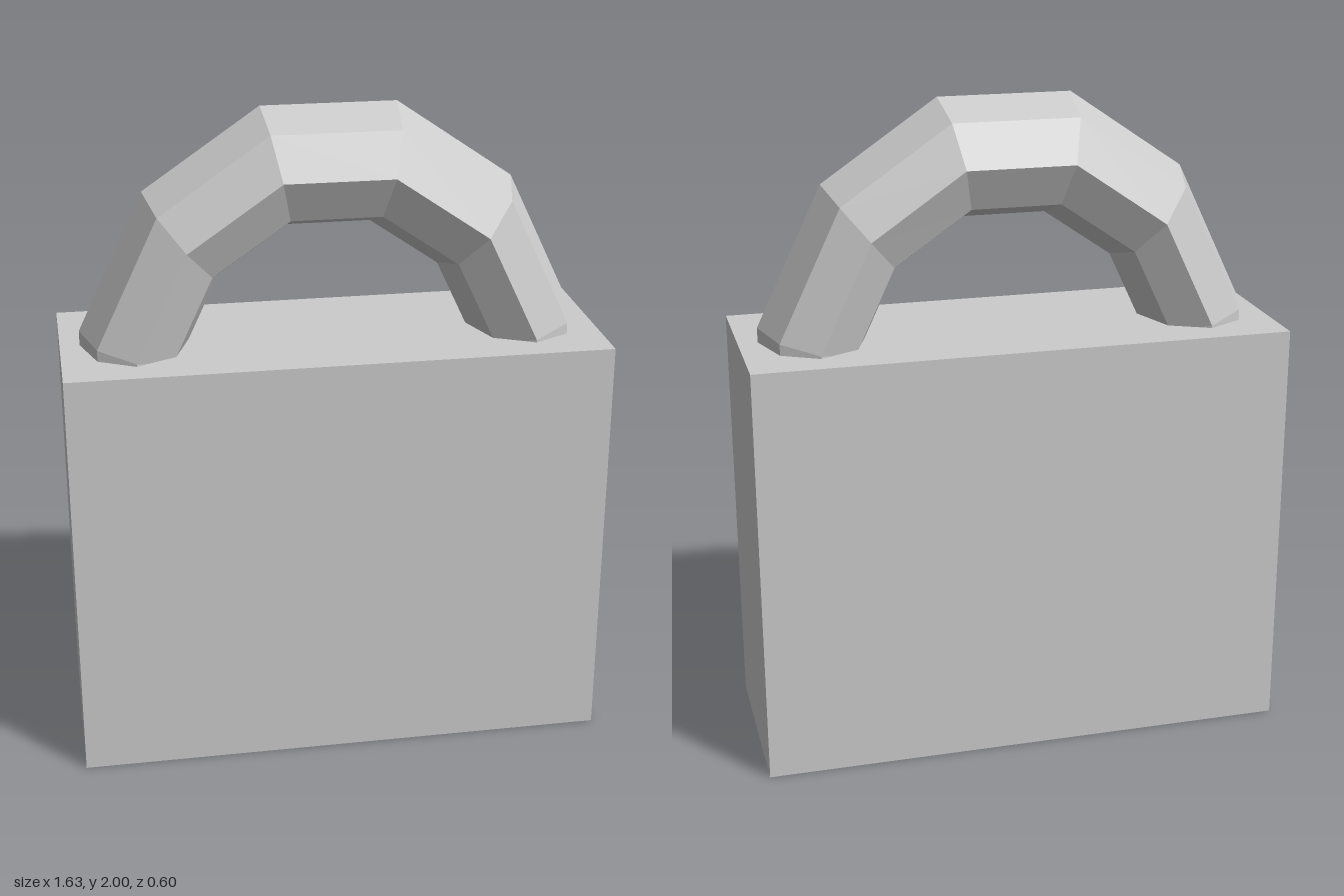
import * as THREE from 'three';

const material = new THREE.MeshStandardMaterial({ color: 0xcccccc, flatShading: true });
const SIDES = 8;
const HALF_DEPTH = 0.208;

// Eight-sided bar swept through mitred joints, each given by its outer and inner point
function shackleGeometry() {
  // [outer x, outer y, inner x, inner y] from the right foot up to the crown
  const half = [
    [0.757, 1.15, 0.443, 1.15],
    [0.757, 1.34, 0.443, 1.265],
    [0.555, 1.76, 0.335, 1.495],
    [0.203, 2.0, 0.125, 1.64],
  ];
  const mirrored = half.map(([ox, oy, ix, iy]) => [-ox, oy, -ix, iy]);
  const joints = [...mirrored, ...half.reverse()];

  const positions = [];
  for (const [ox, oy, ix, iy] of joints) {
    for (let j = 0; j < SIDES; j++) {
      const a = (j / SIDES) * Math.PI * 2;
      const t = (1 - Math.cos(a)) / 2;
      positions.push(ox + (ix - ox) * t, oy + (iy - oy) * t, HALF_DEPTH * Math.sin(a));
    }
  }

  const index = [];
  const last = (joints.length - 1) * SIDES;
  for (let start = 0; start < last; start += SIDES) {
    for (let j = 0; j < SIDES; j++) {
      const k = (j + 1) % SIDES;
      const a = start + j, b = start + k;
      index.push(a, b, b + SIDES, a, b + SIDES, a + SIDES);
    }
  }
  // End caps, hidden inside the body
  for (let j = 1; j < SIDES - 1; j++) {
    index.push(0, j + 1, j, last, last + j, last + j + 1);
  }

  const geometry = new THREE.BufferGeometry();
  geometry.setAttribute('position', new THREE.Float32BufferAttribute(positions, 3));
  geometry.setIndex(index);
  const flat = geometry.toNonIndexed();
  flat.computeVertexNormals();
  return flat;
}

export function createModel() {
  const group = new THREE.Group();
  group.name = 'padlock';

  // Solid block body
  const body = new THREE.Mesh(new THREE.BoxGeometry(1.634, 1.295, 0.6), material);
  body.name = 'body';
  body.position.y = 1.295 / 2;

  // Arched bar sunk into the top of the body
  const shackle = new THREE.Mesh(shackleGeometry(), material);
  shackle.name = 'shackle';

  group.add(body, shackle);
  return group;
}
